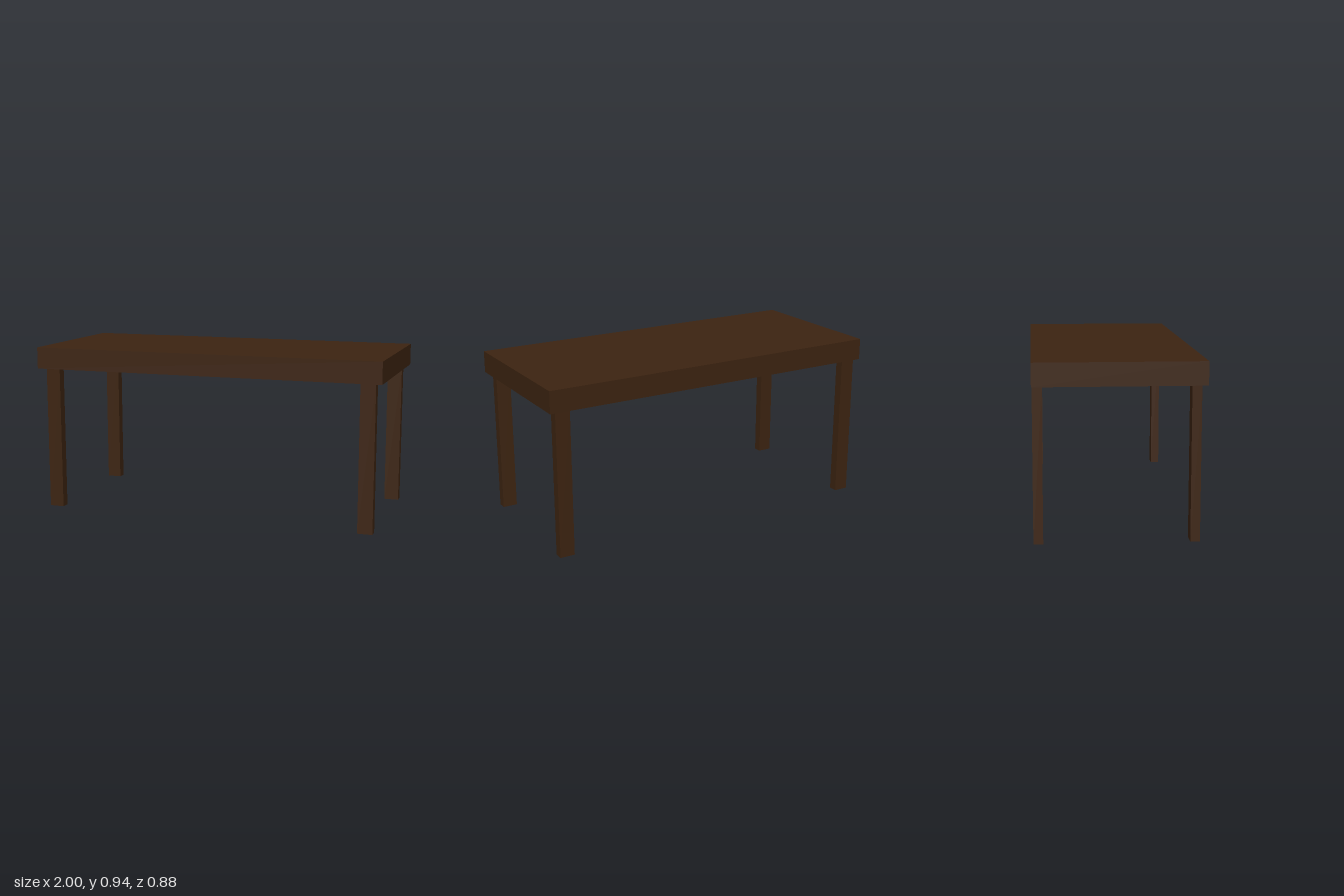
import * as THREE from 'three';

export function createModel() {
  const table = new THREE.Group();
  table.name = 'table';
  const wood = new THREE.MeshStandardMaterial({ color: 0x3d2411 });

  const addBox = (name, w, h, d, x, y, z) => {
    const mesh = new THREE.Mesh(new THREE.BoxGeometry(w, h, d), wood);
    mesh.name = name;
    mesh.position.set(x, y, z);
    table.add(mesh);
  };

  // Thick slab top
  const legHeight = 0.815, topThickness = 0.122;
  addBox('tableTop', 2, topThickness, 0.882, 0, legHeight + topThickness / 2, 0);

  // Four flat legs; the back right one sits slightly further back
  const legs = [
    ['frontLeftLeg', 0.922, 0.39],
    ['frontRightLeg', -0.915, 0.39],
    ['backLeftLeg', 0.922, -0.395],
    ['backRightLeg', -0.915, -0.413],
  ];
  for (const [name, x, z] of legs) addBox(name, 0.083, legHeight, 0.05, x, legHeight / 2, z);

  return table;
}
